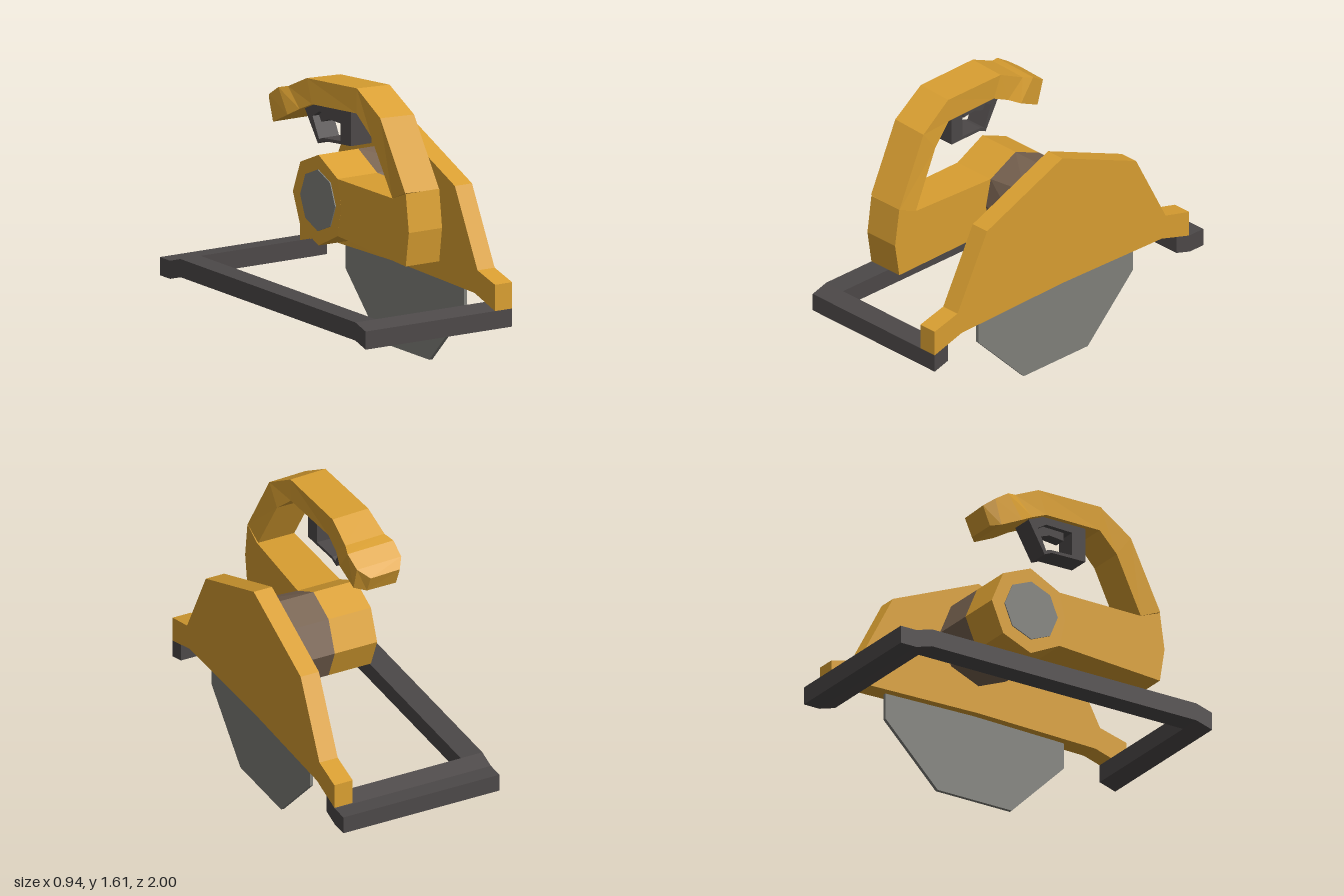
import * as THREE from 'three';

const mat = (name, color) => {
  const m = new THREE.MeshStandardMaterial({ color });
  m.name = name;
  return m;
};

// Prism: a side profile of [z, y] points, extruded along x from x0 to x1
function prism(points, x0, x1, hole) {
  const flip = (list) => list.map(([z, y]) => new THREE.Vector2(-z, y));
  const shape = new THREE.Shape(flip(points));
  if (hole) shape.holes.push(new THREE.Path(flip(hole)));
  const geo = new THREE.ExtrudeGeometry(shape, { depth: x1 - x0, bevelEnabled: false });
  return geo.rotateY(Math.PI / 2).translate(x0, 0, 0);
}

// Move x by a rule of (x, z) and refresh the flat normals
function bendX(geo, rule) {
  const p = geo.attributes.position;
  for (let i = 0; i < p.count; i++) p.setX(i, rule(p.getX(i), p.getZ(i)));
  geo.computeVertexNormals();
  return geo;
}

// Faceted skin through rings of [x, y, z] points, closed at both ends
function loft(rings) {
  const tris = [];
  const n = rings[0].length;
  for (let r = 0; r < rings.length - 1; r++) {
    for (let i = 0; i < n; i++) {
      const j = (i + 1) % n;
      const [a, b, c, d] = [rings[r][i], rings[r][j], rings[r + 1][j], rings[r + 1][i]];
      tris.push([a, b, c], [a, c, d]);
    }
  }
  const first = rings[0], last = rings[rings.length - 1];
  for (let i = 1; i < n - 1; i++) {
    tris.push([first[0], first[i + 1], first[i]], [last[0], last[i], last[i + 1]]);
  }
  // Turn everything outward if the enclosed volume is negative
  const v = (p) => new THREE.Vector3(...p);
  const volume = tris.reduce((s, [a, b, c]) => s + v(a).dot(v(b).cross(v(c))), 0);
  if (volume < 0) tris.forEach((t) => t.reverse());
  const geo = new THREE.BufferGeometry();
  geo.setAttribute('position', new THREE.Float32BufferAttribute(tris.flat(2), 3));
  geo.computeVertexNormals();
  return geo;
}

export function createModel() {
  const model = new THREE.Group();
  model.name = 'circularSaw';
  const gold = mat('gold paint', 0xd89e31);
  const dark = mat('dark metal', 0x4c4848);
  const brown = mat('brown motor', 0x76614f);
  const steel = mat('steel', 0x80807a);
  const add = (name, geo, material) => {
    const mesh = new THREE.Mesh(geo, material);
    mesh.name = name;
    model.add(mesh);
  };

  // Base plate: bent front and back bars joined by one side rail
  add('frontBar', prism([[1, 0.32], [1, 0.42], [0.9, 0.45], [0.9, 0.35]], -0.47, 0.47), dark);
  add('backBar', prism([
    [-1, 0.32], [-1, 0.42], [-0.9, 0.42], [-0.8, 0.45], [-0.8, 0.35], [-0.9, 0.32],
  ], -0.47, 0.47), dark);
  add('sideRail', prism([[-0.8, 0.35], [-0.8, 0.45], [0.9, 0.45], [0.9, 0.35]], -0.47, -0.34), dark);

  // Blade and the guard above it
  const blade = new THREE.CylinderGeometry(0.622, 0.622, 0.02, 8).toNonIndexed();
  blade.rotateY(Math.PI / 8).rotateZ(Math.PI / 2).translate(0.415, 0.575, 0.055);
  blade.computeVertexNormals();
  add('blade', blade, steel);
  add('bladeGuard', prism([
    [1, 0.42], [1, 0.565], [0.83, 0.61], [0.61, 1.03], [0.05, 1.26], [-0.5, 1.03],
    [-0.72, 0.61], [-0.895, 0.565], [-0.895, 0.42], [-0.69, 0.48], [0.05, 0.495], [0.8, 0.48],
  ], 0.36, 0.47), gold);

  // Motor: eight-sided barrel, slightly pinched at the front of its seam
  const octagon = (x, r, front) => Array.from({ length: 8 }, (_, i) => {
    const a = (i * Math.PI) / 4;
    const c = Math.sin(a);
    return [x, 0.905 + r * Math.cos(a), 0.05 + c * (c > 0.01 ? front : r)];
  });
  const seam = octagon(0.11, 0.25, 0.22);
  seam[1][1] = 1.06;
  seam[3][1] = 0.745;
  seam[1][2] = seam[3][2] = 0.235;
  const end = seam.map(([, y, z]) => [-0.145, y, z]);
  add('motorBarrel', loft([seam, octagon(0.36, 0.25, 0.25)]), brown);
  add('motorHousing', loft([end, seam]), gold);
  const cap = octagon(-0.145, 0.17, 0.17);
  add('motorCap', loft([cap.map(([, y, z]) => [-0.151, y, z]), cap]), steel);

  // Lower body reaching forward from the motor, narrowing toward the front
  const body = prism([
    [0.235, 0.745], [0.885, 0.71], [0.915, 0.9], [0.885, 1.11], [0.76, 1.06], [0.235, 1.06],
  ], 0, 1);
  add('handleBody', bendX(body, (x, z) => {
    const t = (z - 0.235) / 0.65;
    return x < 0.5 ? -0.145 + 0.008 * t : 0.11 - 0.032 * t;
  }), gold);

  // Arched grip: outer z, y, inner z, y, then left and right x limits
  const stations = [
    [0.885, 1.11, 0.76, 1.06, -0.14, 0.078],
    [0.68, 1.485, 0.59, 1.37, -0.165, 0.052],
    [0.475, 1.61, 0.47, 1.475, -0.18, 0.03],
    [0.05, 1.585, 0.1, 1.455, -0.22, -0.005],
    [-0.11, 1.51, 0, 1.41, -0.235, 0],
    [-0.17, 1.495, -0.08, 1.365, -0.258, 0.018],
    [-0.255, 1.44, -0.215, 1.3, -0.262, 0.005],
    [-0.31, 1.4, -0.265, 1.295, -0.225, -0.05],
  ];
  add('grip', loft(stations.map(([zo, yo, zi, yi, x0, x1]) => [
    [x0, yo + 0.004, zo], [x1, yo - 0.004, zo], [x1, yi, zi], [x0, yi, zi],
  ])), gold);

  // Trigger and its loop, angled with the grip
  const skew = (geo) => bendX(geo, (x, z) => x + 0.1 * (z - 0.2));
  add('triggerLoop', skew(prism(
    [[0.39, 1.48], [0.39, 1.275], [0.16, 1.26], [0.11, 1.237], [0, 1.41], [0.1, 1.46]], -0.18, -0.05,
    [[0.3, 1.42], [0.3, 1.287], [0.15, 1.275], [0.12, 1.263], [0.065, 1.38], [0.12, 1.415]],
  )), dark);
  add('trigger', skew(prism(
    [[0.26, 1.43], [0.26, 1.372], [0.165, 1.376], [0.1, 1.35], [0.08, 1.385], [0.13, 1.43]], -0.15, -0.08,
  )), dark);

  return model;
}
